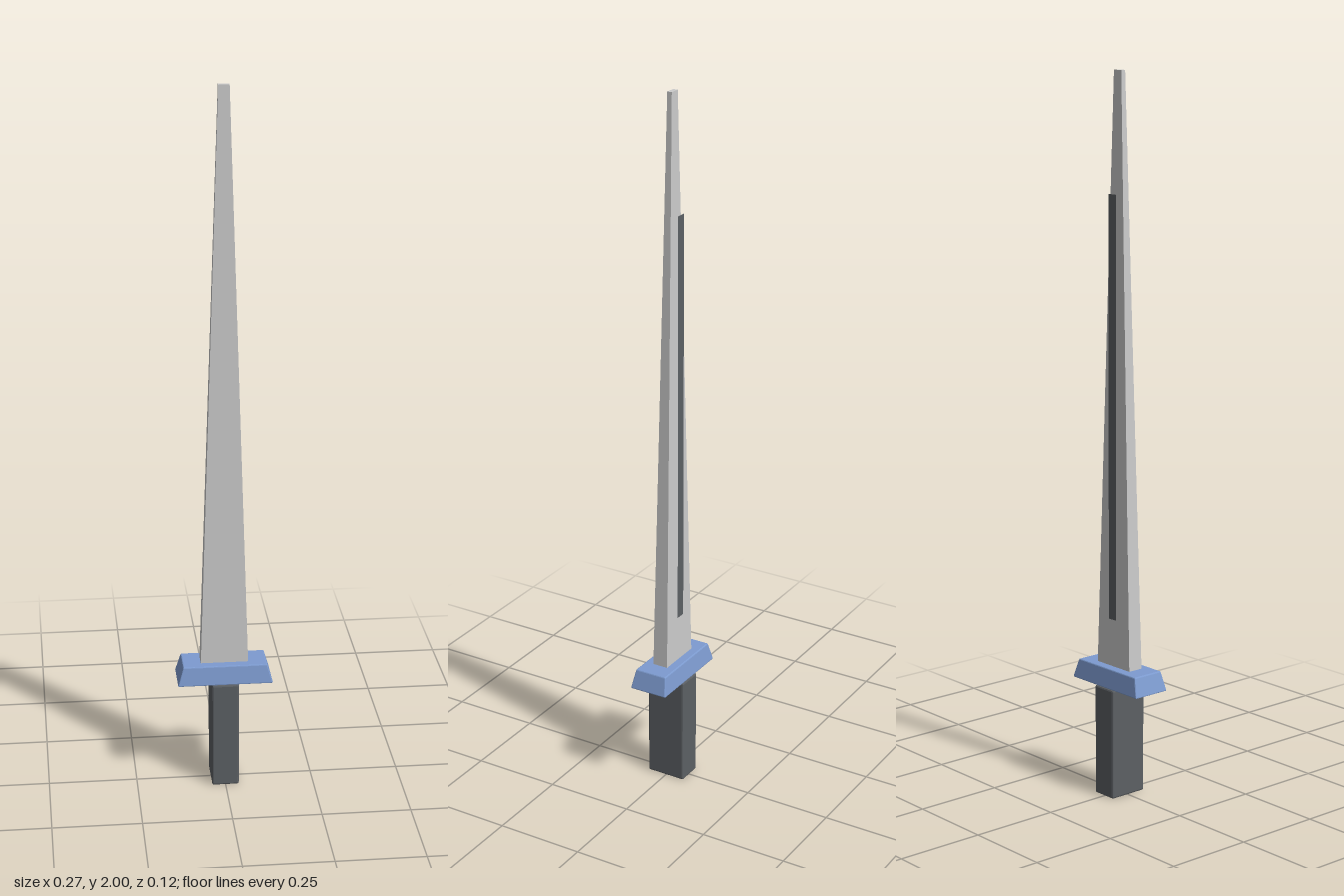
import * as THREE from 'three';
import { RoundedBoxGeometry } from 'three/addons/geometries/RoundedBoxGeometry.js';

const material = (color, extra = {}) =>
  new THREE.MeshStandardMaterial({ color, flatShading: true, ...extra });

// Narrows a geometry of height h towards its top by the factors kx and kz.
function taper(geometry, h, kx, kz) {
  const p = geometry.attributes.position;
  for (let i = 0; i < p.count; i++) {
    const t = p.getY(i) / h + 0.5;
    p.setX(i, p.getX(i) * (1 + (kx - 1) * t));
    p.setZ(i, p.getZ(i) * (1 + (kz - 1) * t));
  }
  geometry.computeVertexNormals();
  return geometry;
}

export function createModel() {
  const model = new THREE.Group();
  model.name = 'sword';
  const add = (name, geometry, mat, y, z = 0) => {
    const mesh = new THREE.Mesh(geometry, mat);
    mesh.name = name;
    mesh.position.set(0, y, z);
    model.add(mesh);
  };
  const dark = 0x5c6064;

  // Grip with slightly softened edges
  add('grip', new RoundedBoxGeometry(0.076, 0.315, 0.115, 1, 0.005), material(dark), 0.1575);

  // Cross guard, wider at the bottom
  add('guard', taper(new RoundedBoxGeometry(0.268, 0.055, 0.113, 1, 0.003), 0.055, 0.88, 0.84),
    material(0x7d9bd0), 0.3425);

  // Four-sided blade with a blunt tip
  add('blade', taper(new THREE.BoxGeometry(0.134, 1.64, 0.045), 1.64, 0.22, 0.3),
    material(0xcccccc), 1.18);

  // Thin dark strip standing just off the back of the blade
  add('backStrip', new THREE.PlaneGeometry(0.03, 1.17).rotateY(Math.PI),
    material(dark, { side: THREE.DoubleSide }), 1.09, -0.026);

  return model;
}
